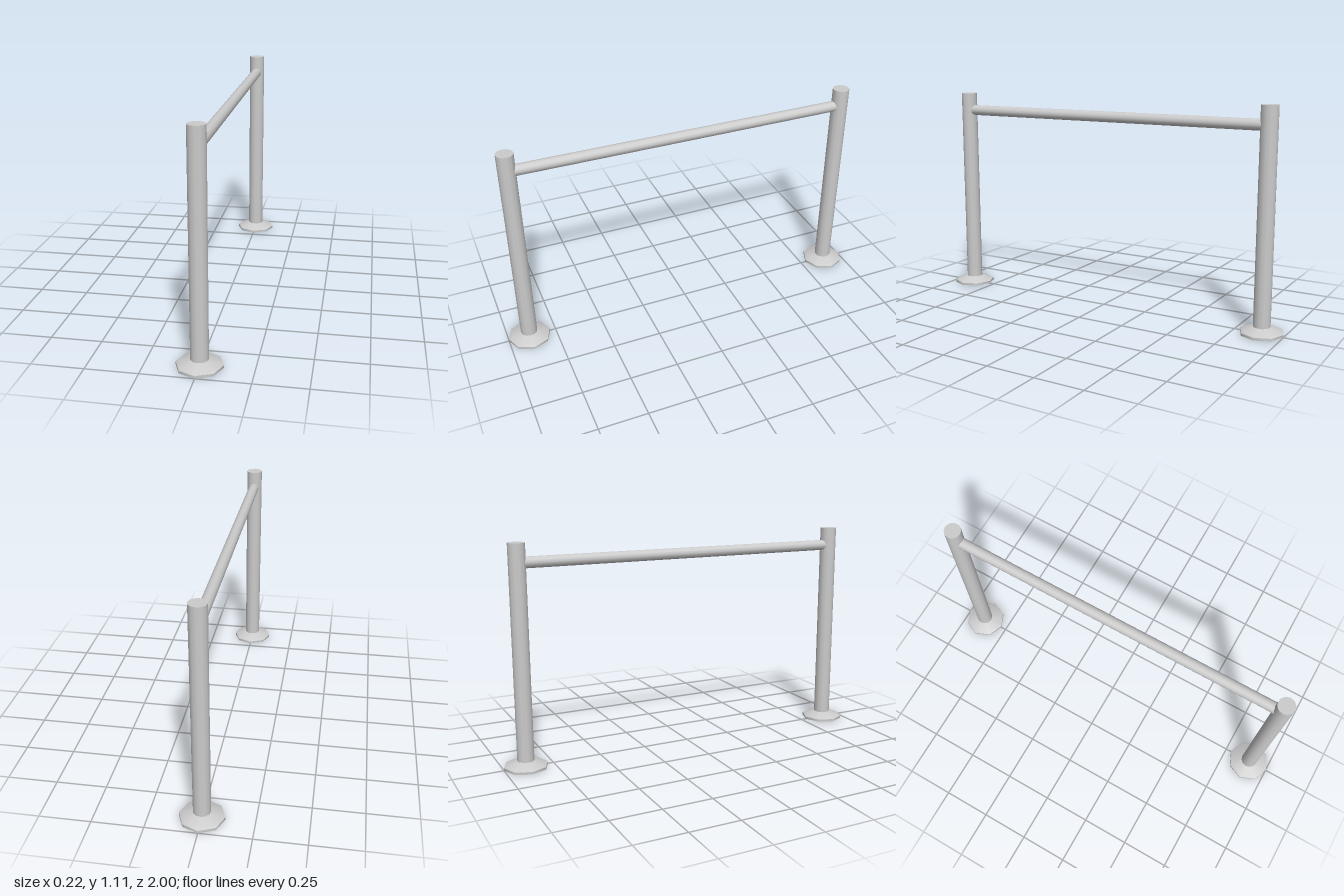
import * as THREE from 'three';
import { toCreasedNormals } from 'three/addons/utils/BufferGeometryUtils.js';

const POST_Z = 0.89, POST_R = 0.043, TOP = 1.107;

export function createModel() {
  const model = new THREE.Group();
  model.name = 'barrier';
  const material = new THREE.MeshStandardMaterial({ color: 0xcccccc });

  const add = (name, geometry, y, z) => {
    const mesh = new THREE.Mesh(geometry, material);
    mesh.name = name;
    mesh.position.set(0, y, z);
    model.add(mesh);
    return mesh;
  };

  // Octagonal foot flange with a low rim and a sloping top
  const profile = [[0, 0], [0.11, 0], [0.11, 0.013], [0.098, 0.02], [POST_R - 0.003, 0.039]]
    .map(([r, y]) => new THREE.Vector2(r, y));
  const flange = toCreasedNormals(new THREE.LatheGeometry(profile, 8), 0.85);

  // Upright posts, starting inside the flange
  const postBottom = 0.02;
  const post = new THREE.CylinderGeometry(POST_R, POST_R, TOP - postBottom, 12);

  for (const [side, s] of [['front', 1], ['back', -1]]) {
    add(side + 'Flange', flange, 0, s * POST_Z);
    add(side + 'Post', post, (TOP + postBottom) / 2, s * POST_Z);
  }

  // Horizontal rail, its ends buried in the posts
  const rail = new THREE.CylinderGeometry(0.028, 0.028, 2 * (POST_Z - 0.01), 12);
  rail.rotateX(Math.PI / 2);
  add('rail', rail, 1.012, 0);

  return model;
}
